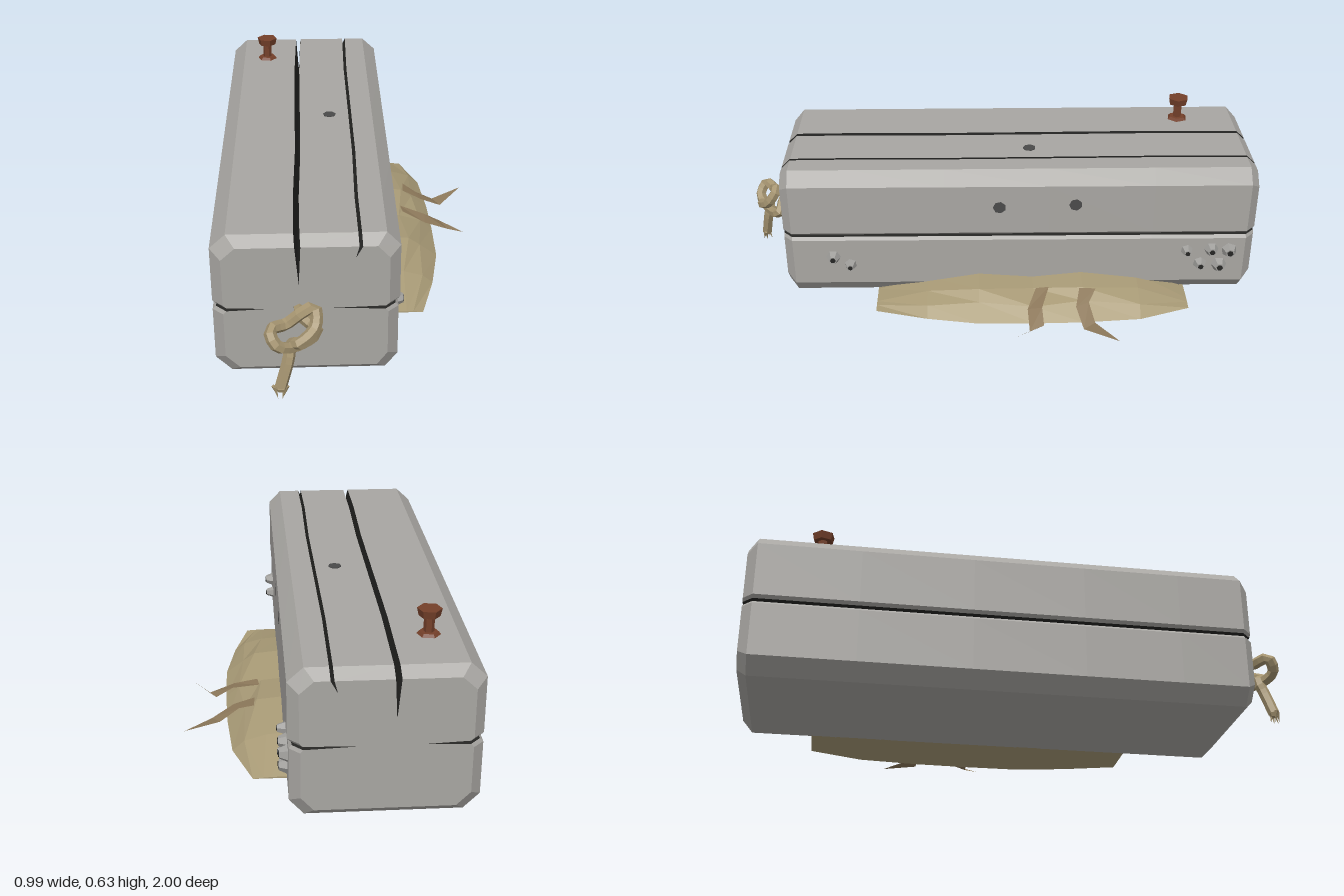
import * as THREE from 'three';

const mat = (name, color, side = THREE.FrontSide) => {
  const m = new THREE.MeshStandardMaterial({ color, side });
  m.name = name;
  return m;
};

// Flat facets: unshared vertices with face normals
function flat(geo) {
  const g = geo.index ? geo.toNonIndexed() : geo;
  g.computeVertexNormals();
  return g;
}

// Closed loft through rings (counter-clockwise seen from +z, ordered by rising z).
// accent(i) sends the strip after point i to the second material.
function loft(rings, accent = () => false) {
  const faces = [[], []];
  const n = rings[0].length;
  for (let k = 0; k < rings.length - 1; k++) {
    for (let i = 0; i < n; i++) {
      const j = (i + 1) % n, A = rings[k], B = rings[k + 1];
      faces[accent(i) ? 1 : 0].push(A[i], A[j], B[j], A[i], B[j], B[i]);
    }
  }
  const first = rings[0], last = rings[rings.length - 1];
  const cap = r => THREE.ShapeUtils.triangulateShape(r.map(p => new THREE.Vector2(p.x, p.y)), []);
  for (const [a, b, c] of cap(first)) faces[0].push(first[c], first[b], first[a]);
  for (const [a, b, c] of cap(last)) faces[0].push(last[a], last[b], last[c]);
  const geo = new THREE.BufferGeometry().setFromPoints([...faces[0], ...faces[1]]);
  geo.addGroup(0, faces[0].length, 0);
  geo.addGroup(faces[0].length, faces[1].length, 1);
  return flat(geo);
}

export function createModel() {
  const model = new THREE.Group();
  const stone = mat('weathered grey', 0xa8a6a2);
  const dark = mat('crack black', 0x262624);
  const hole = mat('hole grey', 0x4a4a4a);
  const shell = mat('shell grey', 0xa09f9c);
  const rust = mat('rust', 0x74402a);
  const sand = mat('sand', 0xa89a76);
  const hemp = mat('rope tan', 0xa59470);
  const weed = mat('dry root brown', 0x8c785a, THREE.DoubleSide);

  const add = (name, geo, material, parent = model) => {
    const m = new THREE.Mesh(geo, material);
    m.name = name;
    parent.add(m);
    return m;
  };
  const group = name => {
    const g = new THREE.Group();
    g.name = name;
    model.add(g);
    return g;
  };

  // Beam: chamfered section with wedge cracks; 1 marks a crack wall
  const profile = [
    [-0.443, 0], [0.083, 0], [0.132, 0.055], [0.132, 0.248],
    [0.122, 0.26, 1], [-0.1, 0.267, 1], [0.124, 0.272], [0.137, 0.284],
    [0.137, 0.485], [0.083, 0.535],
    [0.001, 0.535, 1], [-0.022, 0.487, 1], [-0.011, 0.535],
    [-0.202, 0.535, 1], [-0.21, 0.36, 1], [-0.222, 0.535],
    [-0.443, 0.535], [-0.497, 0.485], [-0.497, 0.284],
    [-0.485, 0.274, 1], [-0.31, 0.268, 1], [-0.485, 0.262], [-0.497, 0.25], [-0.497, 0.055],
  ];
  const cx = -0.18, cy = 0.2675;
  const stations = [-1, -0.965, -0.6, -0.2, 0.2, 0.55, 0.79, 0.825];
  const rings = stations.map((z, k) => profile.map(([px, py]) => {
    const end = k === 0 || k === stations.length - 1;
    let x = px, y = py;
    if (end && Math.abs(px - cx) > 0.25) x = cx + (px - cx) * 0.883;
    if (end && Math.abs(py - cy) > 0.2) y = cy + (py - cy) * 0.875;
    if (px > 0.1) x -= 0.004 * (z + 1);                                    // slight taper
    if (py > 0.3 && Math.abs(px - cx) < 0.2) x += 0.003 * Math.sin(k * 2.1); // crack wander
    return new THREE.Vector3(x, y, z);
  }));
  add('beam', loft(rings, i => profile[i][2] === 1), [stone, dark]);

  // Drilled holes as thin plates
  const holes = group('holes');
  const holeGeo = flat(new THREE.CylinderGeometry(0.025, 0.025, 0.006, 7));
  for (const [z, y] of [[-0.01, 0.395], [-0.3, 0.405]]) {
    const h = add('sideHole', holeGeo, hole, holes);
    h.position.set(0.135 - 0.004 * (z + 1), y, z);
    h.rotation.z = -Math.PI / 2;
  }
  add('topHole', holeGeo, hole, holes).position.set(-0.085, 0.535, -0.13);

  // Barnacles on the left side
  const barnacles = group('barnacles');
  const coneGeo = flat(new THREE.CylinderGeometry(0.016, 0.031, 0.036, 6));
  const mouthGeo = flat(new THREE.CylinderGeometry(0.011, 0.011, 0.004, 6));
  const spots = [[0.635, 0.175, 1], [0.57, 0.14, 0.85], [-0.74, 0.195, 0.85], [-0.835, 0.2, 1],
    [-0.905, 0.195, 1.1], [-0.795, 0.135, 0.95], [-0.87, 0.13, 1.1]];
  spots.forEach(([z, y, s], i) => {
    const b = new THREE.Group();
    b.name = 'barnacle';
    add('barnacleShell', coneGeo, shell, b);
    add('barnacleMouth', mouthGeo, dark, b).position.y = 0.0185;
    b.position.set(0.143 - 0.004 * (z + 1), y, z);
    b.rotation.set(i * 0.7, 0, -Math.PI / 2);
    b.scale.set(s, 1, s);
    barnacles.add(b);
  });

  // Rusty bolt: flange, shaft, head as [top radius, bottom radius, from y, to y]
  const bolt = group('bolt');
  const pieces = { flange: [0.032, 0.043, 0.533, 0.545], shaft: [0.018, 0.018, 0.54, 0.605], head: [0.042, 0.036, 0.6, 0.627] };
  for (const [name, [rt, rb, y0, y1]] of Object.entries(pieces)) {
    add(name, flat(new THREE.CylinderGeometry(rt, rb, y1 - y0, 6)), rust, bolt).position.y = (y0 + y1) / 2;
  }
  bolt.position.set(-0.343, 0, -0.745);
  bolt.rotation.y = 0.35;

  // Sand drift: [z, outer x, height against the beam]
  const drift = [[-0.745, 0.245, 0.006], [-0.55, 0.315, 0.07], [-0.33, 0.333, 0.098], [-0.14, 0.337, 0.078],
    [0.07, 0.335, 0.094], [0.27, 0.3, 0.06], [0.47, 0.245, 0.004]];
  add('sandDrift', loft(drift.map(([z, xo, h], k) => {
    const w = xo - 0.14, j = k % 2 ? 1 : -1;
    return [[0.08, 0], [xo, 0], [0.14 + w * (0.7 + 0.05 * j), h * 0.55],
      [0.14 + w * (0.36 - 0.06 * j), h * 0.88], [0.1, h]].map(([x, y]) => new THREE.Vector3(x, y, z));
  })), sand);

  // Flat root ribbons: pairs of edge points, then the tip
  const ribbon = (pairs, tip) => {
    const pts = [];
    const v = p => new THREE.Vector3(...p);
    for (let i = 0; i < pairs.length - 1; i++) {
      const [a, b] = pairs[i].map(v), [c, d] = pairs[i + 1].map(v);
      pts.push(a, b, d, a, d, c);
    }
    const [a, b] = pairs[pairs.length - 1].map(v);
    pts.push(a, b, v(tip));
    add('root', flat(new THREE.BufferGeometry().setFromPoints(pts)), weed);
  };
  ribbon([[[0.233, 0.088, -0.38], [0.228, 0.088, -0.317]], [[0.288, 0.062, -0.35], [0.306, 0.054, -0.3]],
    [[0.36, 0.018, -0.37], [0.39, 0.01, -0.325]]], [0.49, 0.028, -0.45]);
  ribbon([[[0.208, 0.08, -0.2], [0.215, 0.08, -0.15]], [[0.31, 0.054, -0.17], [0.305, 0.045, -0.115]],
    [[0.375, 0.018, -0.175], [0.4, 0.01, -0.12]]], [0.46, 0.026, -0.063]);

  // Knotted rope on the front end
  const rope = group('rope');
  const path = new THREE.CatmullRomCurve3([
    [-0.21, 0.265, 0.8], [-0.2, 0.262, 0.86], [-0.15, 0.215, 0.88], [-0.215, 0.195, 0.93],
    [-0.28, 0.225, 0.975], [-0.302, 0.27, 0.95], [-0.25, 0.262, 0.905], [-0.2, 0.3, 0.9],
    [-0.158, 0.312, 0.885], [-0.155, 0.26, 0.92], [-0.205, 0.225, 0.96], [-0.235, 0.2, 0.93],
    [-0.245, 0.15, 0.945], [-0.272, 0.055, 0.965],
  ].map(p => new THREE.Vector3(...p)));
  add('knot', flat(new THREE.TubeGeometry(path, 40, 0.021, 6)), hemp, rope);
  add('ropeEnd', flat(new THREE.SphereGeometry(0.021, 6, 4)), hemp, rope).position.set(-0.272, 0.056, 0.965);
  for (let i = 0; i < 5; i++) {
    const a = i * 2.4;
    const s = add('frayedStrand', flat(new THREE.ConeGeometry(0.007, 0.045, 4)), hemp, rope);
    s.position.set(-0.274 + 0.017 * Math.cos(a), 0.037, 0.966 + 0.013 * Math.sin(a));
    s.rotation.set(Math.PI - 0.25 * Math.sin(a), 0, 0.3 * Math.cos(a));
  }
  return model;
}
